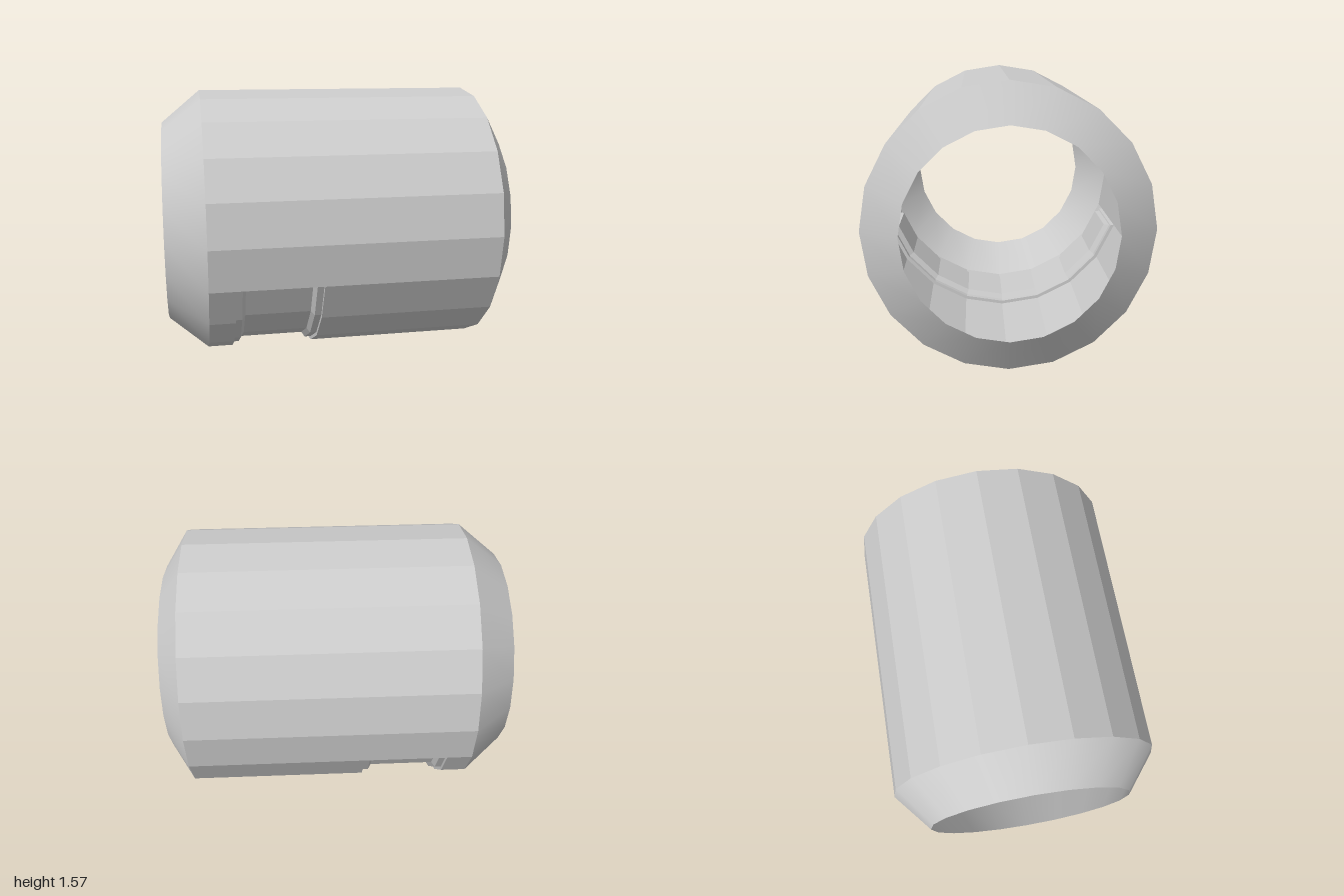
import * as THREE from 'three';

const R = 0.785, SIDES = 20, STEP = (Math.PI * 2) / SIDES;
const X0 = -0.775, X1 = 0.865;          // ends of the straight barrel
const W0 = -0.63, W1 = -0.145;          // ends of the recessed window
const WC = (W0 + W1) / 2;

const material = new THREE.MeshStandardMaterial({ color: 0xcccccc, side: THREE.DoubleSide });

// point on the barrel polygon; k counts facets from the front (+z) downwards
const ringPoint = (x, r, k) =>
  new THREE.Vector3(x, R - r * Math.sin(k * STEP), r * Math.cos(k * STEP));

// flat faceted mesh from quads [a, b, c, d]
function quadMesh(name, quads) {
  const points = quads.flatMap(([a, b, c, d]) => [a, b, c, a, c, d]);
  const geometry = new THREE.BufferGeometry().setFromPoints(points);
  geometry.computeVertexNormals();
  const mesh = new THREE.Mesh(geometry, material);
  mesh.name = name;
  return mesh;
}

// smooth conical collar running along x
function collar(name, xa, ra, xb, rb) {
  const geometry = new THREE.CylinderGeometry(rb, ra, xb - xa, SIDES, 1, true);
  geometry.rotateZ(-Math.PI / 2);
  const mesh = new THREE.Mesh(geometry, material);
  mesh.name = name;
  mesh.position.set((xa + xb) / 2, R, 0);
  return mesh;
}

// arc under the barrel at radius r, ending at depth h below the axis on both sides
function arc(x, r, h) {
  const a = ringPoint(x, r, 1), b = ringPoint(x, r, 2);
  const t = (a.y - (R - h)) / (a.y - b.y);
  const start = a.clone().lerp(b, t);
  const points = [start];
  for (let k = 2; k <= 8; k++) points.push(ringPoint(x, r, k));
  points.push(new THREE.Vector3(x, start.y, -start.z));
  return points;
}

export function createModel() {
  const group = new THREE.Group();
  group.name = 'sleeve';

  // faceted barrel, leaving the window open on the lower eight facets
  const barrel = [];
  for (let k = 0; k < SIDES; k++) {
    const bands = k >= 1 && k < 9 ? [[X0, W0], [W1, X1]] : [[X0, X1]];
    for (const [xa, xb] of bands) {
      barrel.push([ringPoint(xa, R, k), ringPoint(xa, R, k + 1),
        ringPoint(xb, R, k + 1), ringPoint(xb, R, k)]);
    }
  }
  group.add(quadMesh('barrel', barrel));

  // tapered ends
  group.add(collar('rightCollar', -1, 0.597, X0, R));
  group.add(collar('leftCollar', X1, R, 1, 0.571));

  // stepped window frame: [half width, radius, depth of the end edges]
  const h = R * Math.sin(STEP);
  const half = (W1 - W0) / 2;
  const levels = [[half, R, h], [half, 0.765, h], [0.205, 0.765, 0.25], [0.186, 0.735, 0.25]];
  const sides = levels.map(([w, r, d]) => [arc(WC - w, r, d), arc(WC + w, r, d)]);
  const loops = sides.map(([left, right]) => [...left, ...[...right].reverse()]);
  const frame = [];
  for (let i = 0; i < loops.length - 1; i++) {
    const outer = loops[i], inner = loops[i + 1], n = outer.length;
    for (let j = 0; j < n; j++) {
      const m = (j + 1) % n;
      frame.push([outer[j], outer[m], inner[m], inner[j]]);
    }
  }
  group.add(quadMesh('windowFrame', frame));

  // sunken panel
  const [left, right] = sides[sides.length - 1];
  const panel = [];
  for (let j = 0; j < left.length - 1; j++) {
    panel.push([left[j], left[j + 1], right[j + 1], right[j]]);
  }
  group.add(quadMesh('windowPanel', panel));

  return group;
}
